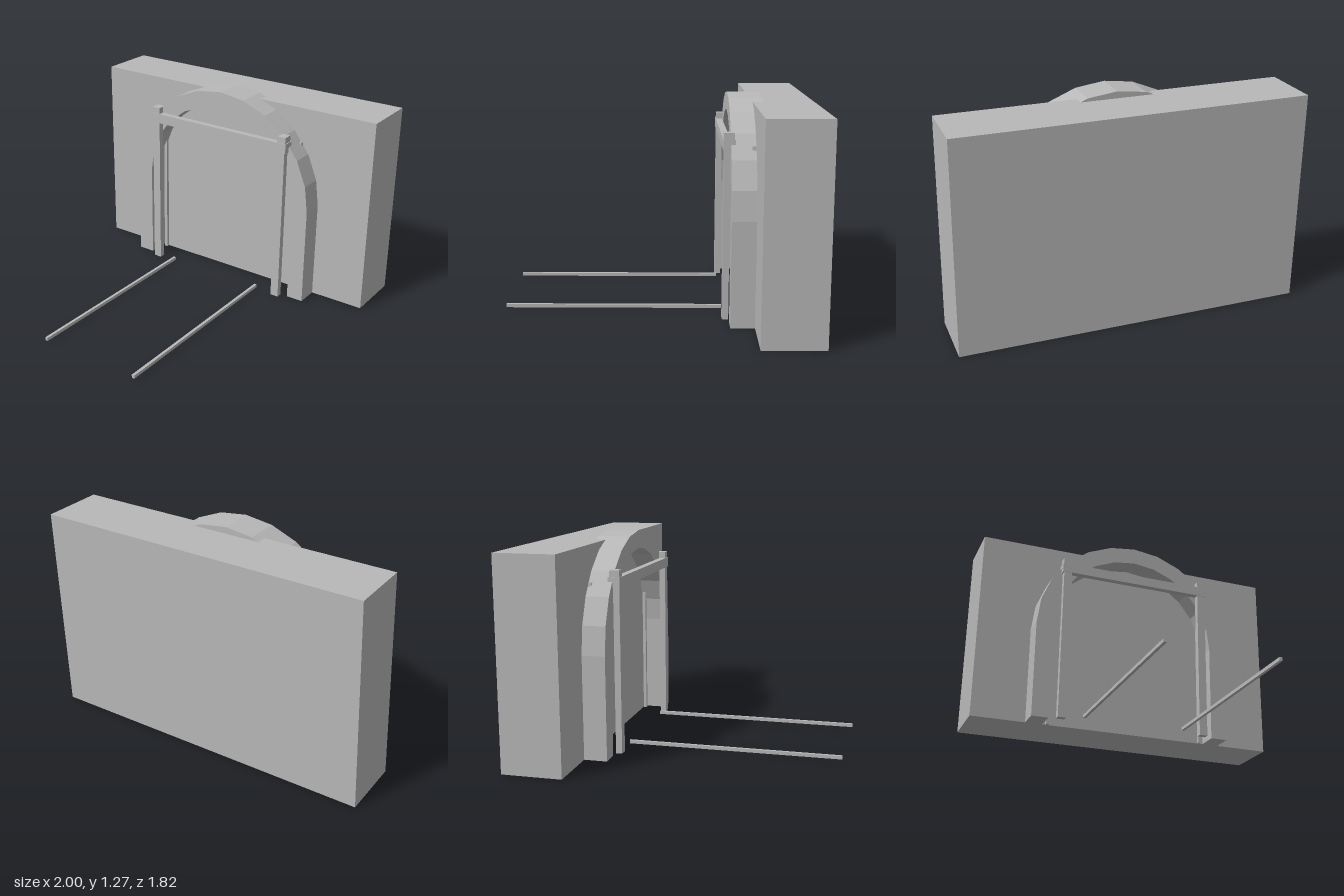
import * as THREE from 'three';

export function createModel() {
  const model = new THREE.Group();
  model.name = 'archedGateway';
  const plainGrey = new THREE.MeshStandardMaterial({ color: 0xb8b8b8 });
  plainGrey.name = 'plainGrey';

  const add = (name, geometry) => {
    const mesh = new THREE.Mesh(geometry, plainGrey);
    mesh.name = name;
    model.add(mesh);
    return mesh;
  };

  // Box given by its lower and upper limits on each axis
  const box = (name, [x0, x1], [y0, y1], [z0, z1]) => {
    const mesh = add(name, new THREE.BoxGeometry(x1 - x0, y1 - y0, z1 - z0));
    mesh.position.set((x0 + x1) / 2, (y0 + y1) / 2, (z0 + z1) / 2);
  };

  // The same box on both sides of the model
  const pair = (name, [x0, x1], y, z) => {
    box(name + 'Left', [x0, x1], y, z);
    box(name + 'Right', [-x1, -x0], y, z);
  };

  box('wall', [-1, 1], [0, 1.235], [-0.91, -0.55]);

  // Arch: straight legs joined by a faceted half ring
  const springY = 0.62, steps = 12;
  const halfRing = (radius) => Array.from({ length: steps + 1 }, (_, i) => {
    const a = Math.PI * i / steps;
    return new THREE.Vector2(radius * Math.cos(a), springY + radius * Math.sin(a));
  });
  const outer = 0.655, inner = 0.547;
  const outline = new THREE.Shape([
    new THREE.Vector2(outer, 0), ...halfRing(outer), new THREE.Vector2(-outer, 0),
    new THREE.Vector2(-inner, 0), ...halfRing(inner).reverse(), new THREE.Vector2(inner, 0),
  ]);
  const arch = add('arch', new THREE.ExtrudeGeometry(outline, { depth: 0.2, bevelEnabled: false }));
  arch.position.z = -0.61;

  // Door frame in front of the arch
  pair('framePost', [0.447, 0.5], [0, 1.0], [-0.408, -0.37]);
  box('frameBeam', [-0.507, 0.507], [0.99, 1.052], [-0.408, -0.367]);
  pair('postBracket', [0.447, 0.508], [1.02, 1.053], [-0.437, -0.366]);
  pair('postCap', [0.447, 0.503], [1.05, 1.092], [-0.43, -0.37]);

  // Thin rods running up the wall and through the arch
  pair('wallRod', [0.508, 0.528], [0, 1.02], [-0.548, -0.528]);

  // Rails leading out along the ground
  pair('rail', [0.32, 0.338], [0.014, 0.034], [-0.375, 0.91]);

  return model;
}
